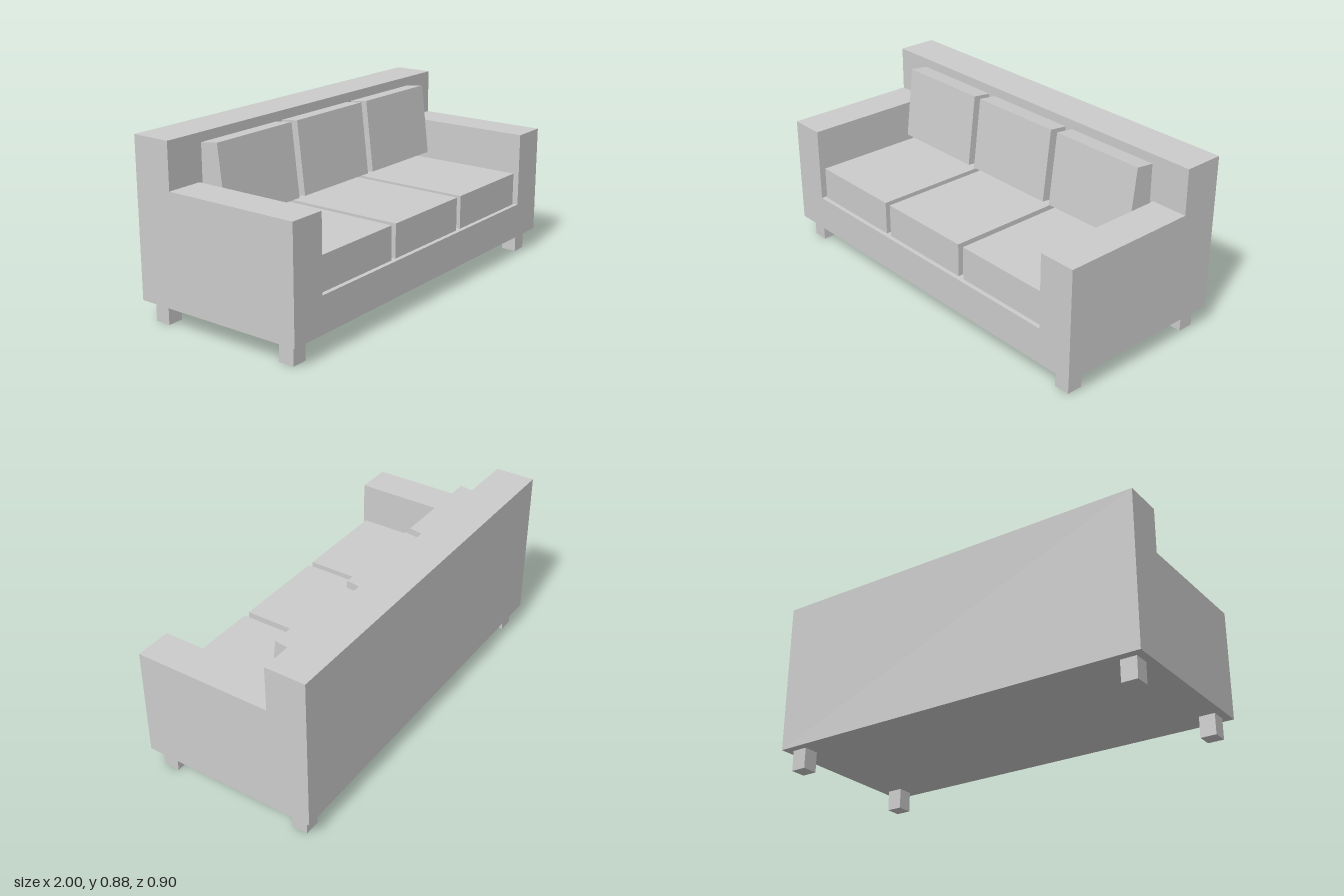
import * as THREE from 'three';

export function createModel() {
  const sofa = new THREE.Group();
  sofa.name = 'sofa';
  const fabric = new THREE.MeshStandardMaterial({ color: 0xcccccc });
  fabric.name = 'light grey';

  function add(name, geometry, x, y, z) {
    const mesh = new THREE.Mesh(geometry, fabric);
    mesh.name = name;
    mesh.position.set(x, y, z);
    sofa.add(mesh);
    return mesh;
  }
  const box = (w, h, d) => new THREE.BoxGeometry(w, h, d);

  // Base and both arms as one U-shaped profile
  const profile = new THREE.Shape([
    [-1, 0.105], [1, 0.105], [1, 0.657], [0.815, 0.657],
    [0.815, 0.284], [-0.815, 0.284], [-0.815, 0.657], [-1, 0.657],
  ].map(([x, y]) => new THREE.Vector2(x, y)));
  const frame = new THREE.ExtrudeGeometry(profile, { depth: 0.697, bevelEnabled: false });
  add('baseAndArms', frame, 0, 0, -0.247);

  // Full-width backrest
  add('backrest', box(2, 0.778, 0.203), 0, 0.494, -0.3485);

  // Three seat cushions with leaning back cushions
  for (const x of [-0.544, 0, 0.544]) {
    add('seatCushion', box(0.511, 0.168, 0.675), x, 0.368, 0.0905);
    add('backCushion', box(0.503, 0.366, 0.16), x, 0.657, -0.208).rotation.x = -0.119;
  }

  // Square corner legs
  for (const x of [-0.92, 0.92]) {
    for (const z of [-0.369, 0.369]) {
      add('leg', box(0.08, 0.105, 0.08), x, 0.0525, z);
    }
  }
  return sofa;
}
